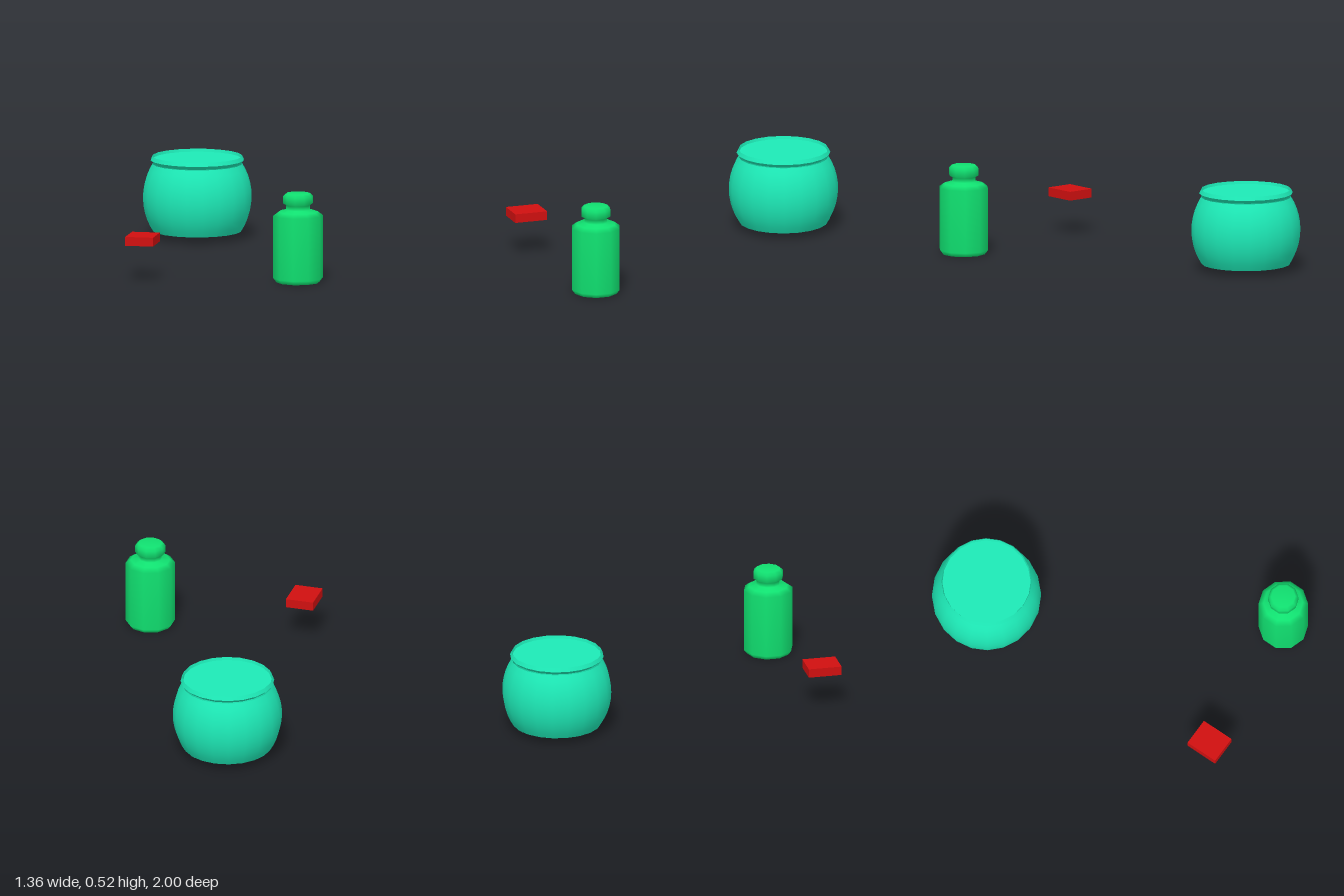
import * as THREE from 'three';

const material = (color) => new THREE.MeshStandardMaterial({ color, side: THREE.DoubleSide });

// Turned surface from [radius, height] pairs, listed bottom to top
function turned(name, points, sides, mat) {
  const profile = points.map(([r, y]) => new THREE.Vector2(r, y));
  const mesh = new THREE.Mesh(new THREE.LatheGeometry(profile, sides), mat);
  mesh.name = name;
  return mesh;
}

function createBowl() {
  const bowl = new THREE.Group();
  bowl.name = 'bowl';
  const mat = material(0x1de9b6);
  const sides = 20;

  // Bulging wall: a slice of an ellipsoid
  const wall = [];
  const steps = 10;
  for (let i = 0; i <= steps; i++) {
    const a = THREE.MathUtils.lerp(-0.625, 0.607, i / steps);
    wall.push([0.318 * Math.cos(a), 0.24 + 0.342 * Math.sin(a)]);
  }
  bowl.add(
    turned('bowlBase', [[0, 0.04], [0.258, 0.04]], sides, mat),
    turned('bowlWall', wall, sides, mat),
    // Flared lip, each face with its own hard edge
    turned('lipUnderside', [[0.25, 0.437], [0.273, 0.458]], sides, mat),
    turned('lipOuter', [[0.273, 0.458], [0.262, 0.48]], sides, mat),
    turned('lipInner', [[0.262, 0.48], [0.257, 0.463]], sides, mat),
    // Flat surface just inside the lip
    turned('bowlSurface', [[0.257, 0.463], [0, 0.463]], sides, mat),
  );
  bowl.position.set(-0.363, 0, -0.683);
  return bowl;
}

function createBottle() {
  const bottle = turned('bottle', [
    [0, 0], [0.126, 0], [0.145, 0.025],                // base
    [0.145, 0.393], [0.115, 0.415], [0.069, 0.427],    // body and shoulder
    [0.069, 0.453], [0.088, 0.465],                    // neck
    [0.088, 0.506], [0.07, 0.523], [0, 0.523],         // cap
  ], 10, material(0x10e070));
  bottle.position.set(0.54, 0, 0.792);
  return bottle;
}

function createBlock() {
  const block = new THREE.Mesh(new THREE.BoxGeometry(0.165, 0.052, 0.196), material(0xd01010));
  block.name = 'block';
  block.position.set(-0.361, 0.24, 0.902);
  return block;
}

export function createModel() {
  const model = new THREE.Group();
  model.name = 'bowlBottleAndBlock';
  model.add(createBowl(), createBottle(), createBlock());
  return model;
}
